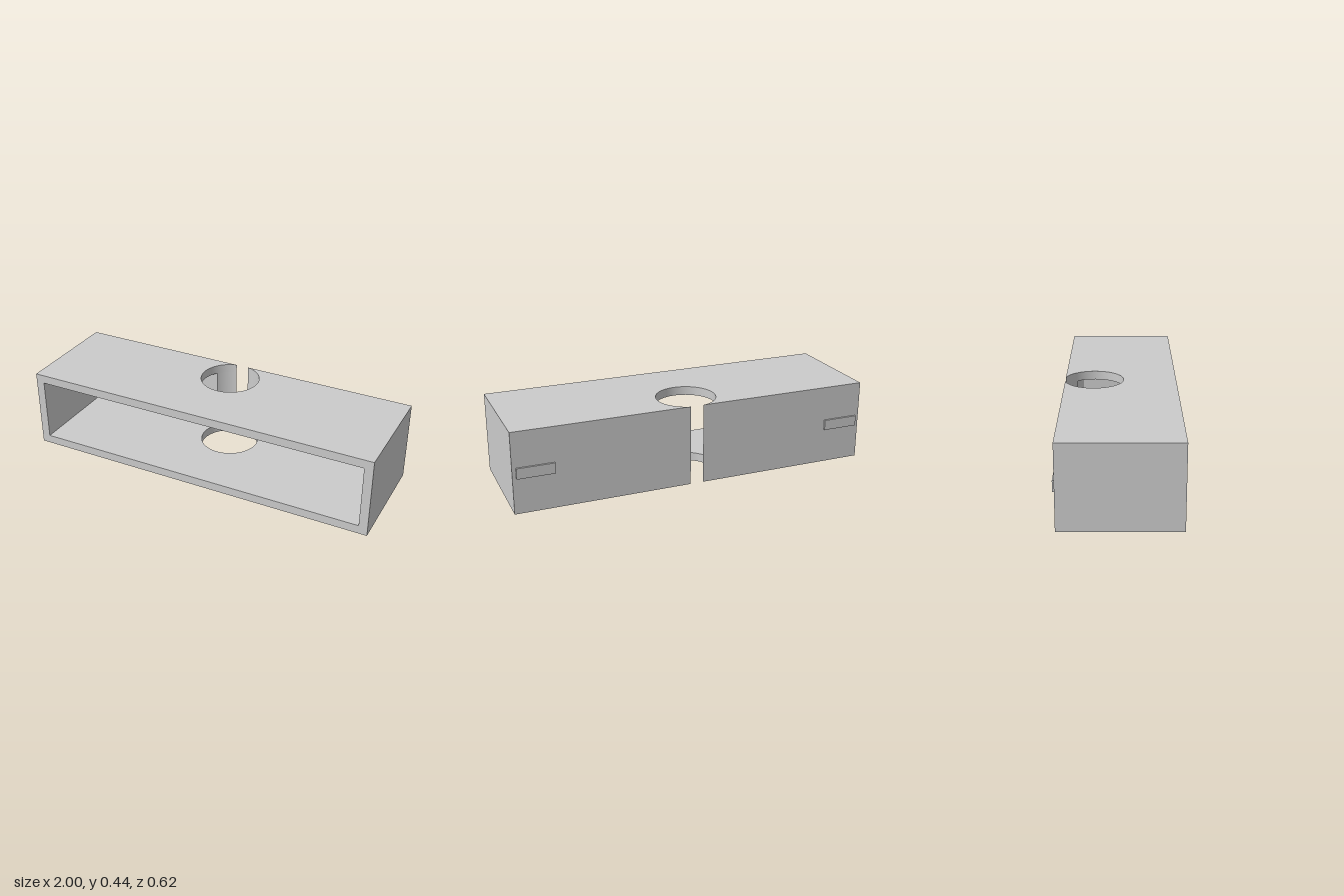
import * as THREE from 'three';
import { toCreasedNormals } from 'three/addons/utils/BufferGeometryUtils.js';

// Main dimensions
const HEIGHT = 0.445, WALL = 0.048;
const FRONT = 0.311, BACK = -0.301, INNER_BACK = -0.24;
const BORE_Z = -0.142, BORE_R = 0.163;

// Angles where the bore meets the outer and inner face of the back wall
const OUTER_ANGLE = Math.asin((BACK - BORE_Z) / BORE_R);
const INNER_ANGLE = Math.asin((INNER_BACK - BORE_Z) / BORE_R);

// Points on the bore, as [x, z]
function boreArc(from, to, segments) {
  return Array.from({ length: segments + 1 }, (_, i) => {
    const a = from + ((to - from) * i) / segments;
    return [BORE_R * Math.cos(a), BORE_Z + BORE_R * Math.sin(a)];
  });
}

// Raise a plan outline of [x, z] points from y0 to y1
function extrudePlan(points, y0, y1) {
  const shape = new THREE.Shape(points.map(([x, z]) => new THREE.Vector2(x, z)));
  const geometry = new THREE.ExtrudeGeometry(shape, { depth: y1 - y0, bevelEnabled: false });
  geometry.rotateX(Math.PI / 2).translate(0, y1, 0);
  return toCreasedNormals(geometry, 0.5);
}

export function createModel() {
  const group = new THREE.Group();
  const material = new THREE.MeshStandardMaterial({ color: 0xcccccc });
  const add = (name, geometry) => {
    const mesh = new THREE.Mesh(geometry, material);
    mesh.name = name;
    group.add(mesh);
    return mesh;
  };

  // Top and bottom plates, with the round bore breaking out at the back
  const plate = [
    [-1, FRONT], [1, FRONT], [1, BACK],
    ...boreArc(OUTER_ANGLE, Math.PI - OUTER_ANGLE, 72),
    [-1, BACK],
  ];
  add('bottomPlate', extrudePlan(plate, 0, WALL));
  add('topPlate', extrudePlan(plate, HEIGHT - WALL, HEIGHT));

  // L-shaped side and back wall, with the bore cutting its inner end
  const wall = [
    [1, FRONT], [1, BACK],
    ...boreArc(OUTER_ANGLE, INNER_ANGLE, 12),
    [1 - WALL, INNER_BACK], [1 - WALL, FRONT],
  ];
  for (const [side, s] of [['left', 1], ['right', -1]]) {
    const mirrored = wall.map(([x, z]) => [s * x, z]);
    add(side + 'Wall', extrudePlan(mirrored, WALL, HEIGHT - WALL));

    // Thin raised tab on the back face
    const tab = add(side + 'BackTab', new THREE.BoxGeometry(0.2, 0.058, 0.01));
    tab.position.set(s * 0.88, 0.223, BACK - 0.005);
  }

  return group;
}
